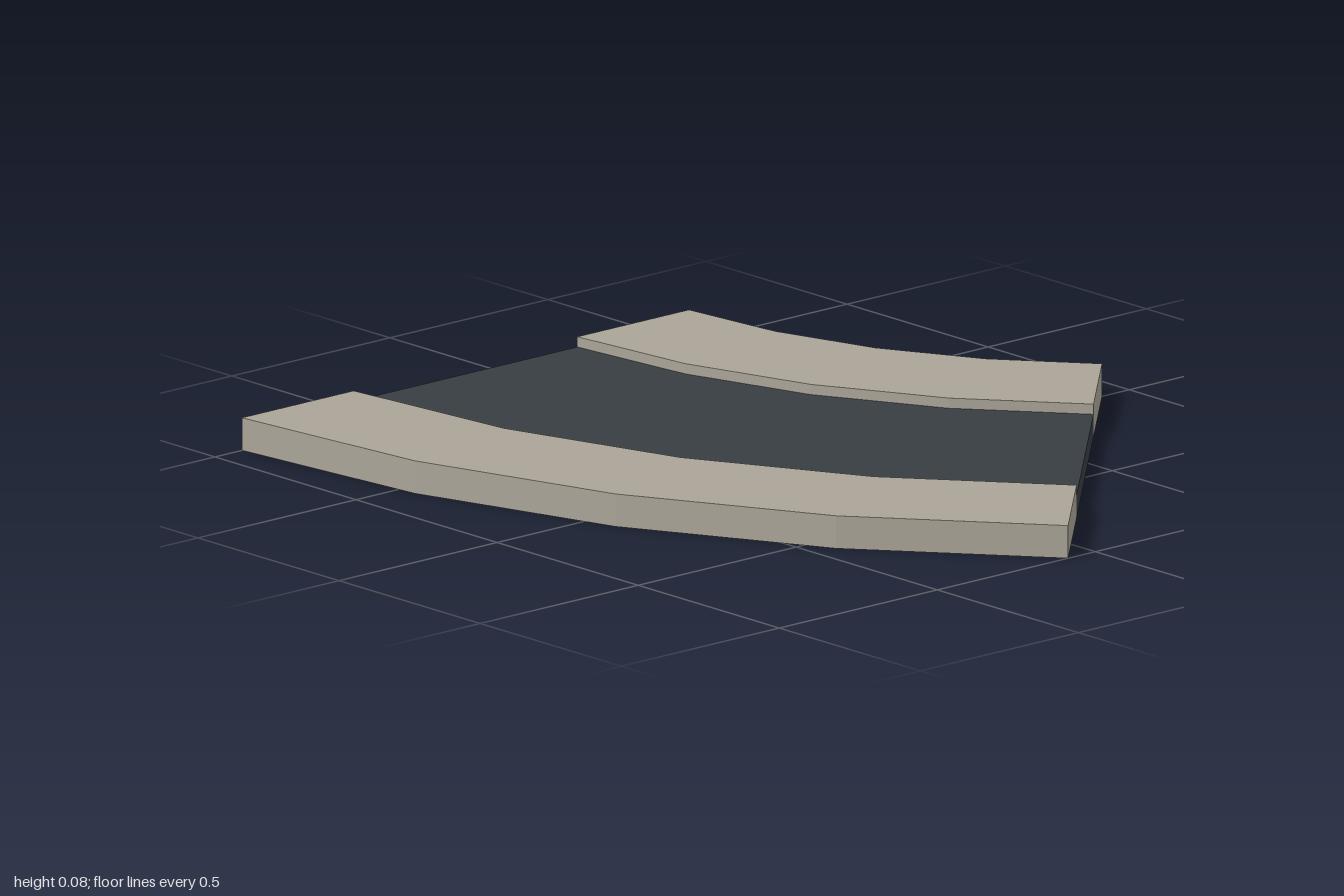
import * as THREE from 'three';

const CENTRE_X = 1.914, CENTRE_Z = -1; // pivot of the bend
const SEGMENTS = 4, ANGLE = Math.PI / 4;
const RADII = [1, 1.25, 1.75, 2].map(r => r * Math.SQRT2);

// Point on the bend at radius r, step i and height y
function point(r, i, y) {
  const a = ANGLE * i / SEGMENTS;
  return [CENTRE_X - r * Math.cos(a), y, CENTRE_Z + r * Math.sin(a)];
}

// Curved shell, open underneath: top, both ends and optional side walls
function curvedShell(r0, r1, height, sideWalls) {
  const pos = [];
  const quad = (a, b, c, d) => pos.push(...a, ...b, ...c, ...a, ...c, ...d);
  for (let i = 0; i < SEGMENTS; i++) {
    const j = i + 1;
    quad(point(r0, i, height), point(r1, i, height), point(r1, j, height), point(r0, j, height));
    if (sideWalls) {
      quad(point(r0, i, 0), point(r0, i, height), point(r0, j, height), point(r0, j, 0));
      quad(point(r1, j, 0), point(r1, j, height), point(r1, i, height), point(r1, i, 0));
    }
  }
  const n = SEGMENTS;
  quad(point(r0, 0, 0), point(r1, 0, 0), point(r1, 0, height), point(r0, 0, height));
  quad(point(r1, n, 0), point(r0, n, 0), point(r0, n, height), point(r1, n, height));
  const geometry = new THREE.BufferGeometry();
  geometry.setAttribute('position', new THREE.Float32BufferAttribute(pos, 3));
  geometry.computeVertexNormals();
  return geometry;
}

export function createModel() {
  const group = new THREE.Group();
  group.name = 'curvedRoad';

  const pavement = new THREE.MeshStandardMaterial({ color: 0xaaa497, side: THREE.DoubleSide, flatShading: true });
  pavement.name = 'pavement';
  const asphalt = new THREE.MeshStandardMaterial({ color: 0x383d42, side: THREE.DoubleSide, flatShading: true });
  asphalt.name = 'asphalt';

  function add(name, geometry, material) {
    const mesh = new THREE.Mesh(geometry, material);
    mesh.name = name;
    group.add(mesh);
  }

  // Raised pavements on both sides of a slightly lower road
  add('innerPavement', curvedShell(RADII[0], RADII[1], 0.08, true), pavement);
  add('road', curvedShell(RADII[1], RADII[2], 0.055, false), asphalt);
  add('outerPavement', curvedShell(RADII[2], RADII[3], 0.08, true), pavement);

  return group;
}
